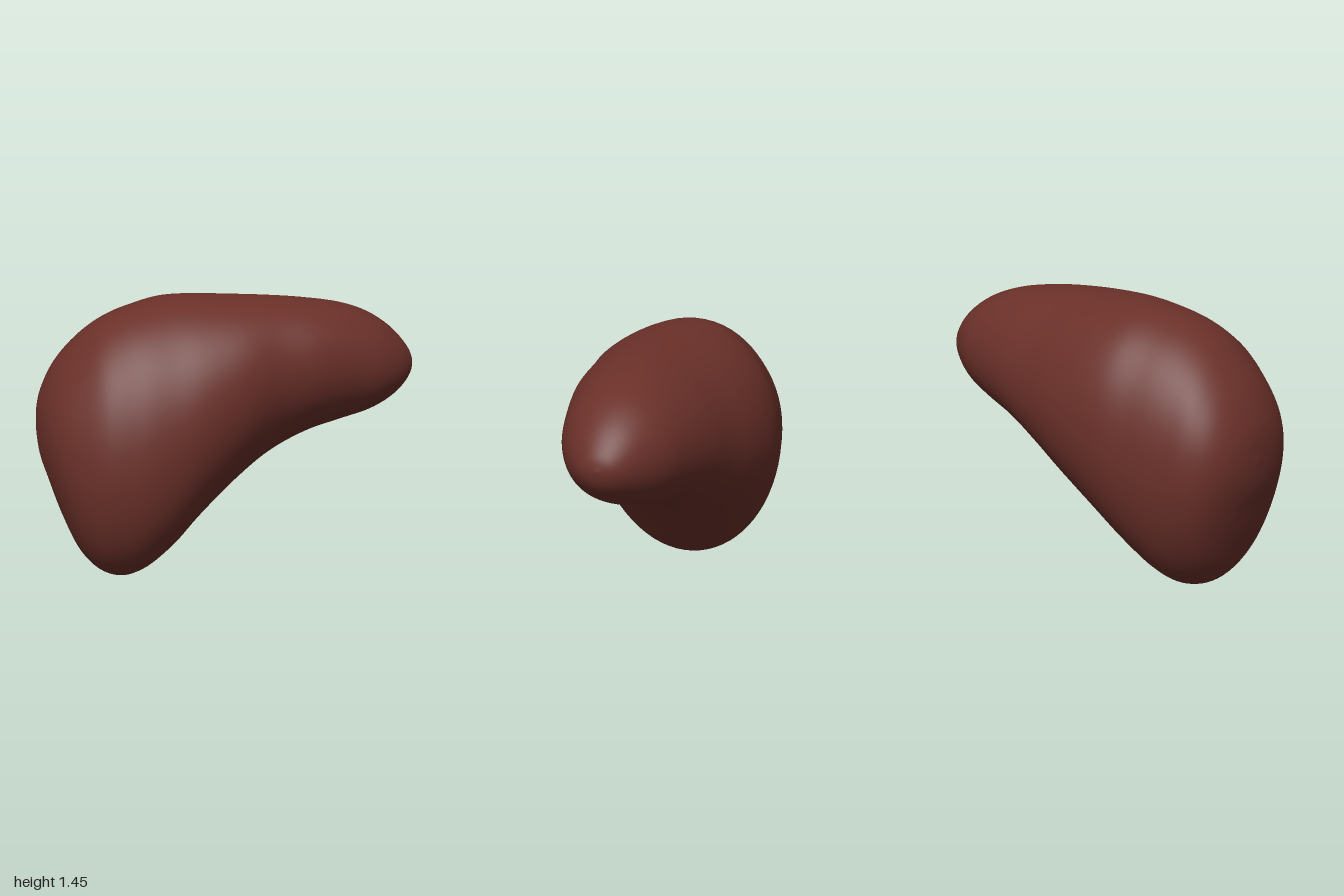
import * as THREE from 'three';
import { mergeVertices } from 'three/addons/utils/BufferGeometryUtils.js';

// Cross-sections along x: x, top y, bottom y, back z, front z, lean of the section
const SECTIONS = [
  [-1, 0.78, 0.78, -0.08, -0.08, 0],
  [-0.985, 0.92, 0.64, -0.21, 0.07, 0],
  [-0.95, 1.02, 0.52, -0.31, 0.21, -0.01],
  [-0.89, 1.13, 0.335, -0.385, 0.325, -0.02],
  [-0.8, 1.235, 0.135, -0.44, 0.42, -0.03],
  [-0.7, 1.32, 0.033, -0.465, 0.48, -0.03],
  [-0.6, 1.375, 0.002, -0.485, 0.505, -0.03],
  [-0.5, 1.41, 0.028, -0.5, 0.52, -0.03],
  [-0.35, 1.445, 0.135, -0.522, 0.515, -0.03],
  [-0.2, 1.455, 0.28, -0.522, 0.495, 0],
  [0, 1.45, 0.45, -0.493, 0.45, 0.04],
  [0.2, 1.44, 0.59, -0.44, 0.385, 0.06],
  [0.4, 1.42, 0.695, -0.395, 0.355, 0.05],
  [0.6, 1.385, 0.757, -0.34, 0.305, 0.03],
  [0.75, 1.33, 0.805, -0.287, 0.26, 0.01],
  [0.87, 1.25, 0.87, -0.21, 0.19, 0],
  [0.95, 1.165, 0.94, -0.135, 0.115, 0],
  [0.985, 1.11, 0.995, -0.08, 0.06, 0],
  [1, 1.055, 1.055, -0.01, -0.01, 0],
];

// Point on one section's leaning ellipse
function sectionPoint([x, top, bottom, back, front, lean], angle) {
  const s = Math.sin(angle), c = Math.cos(angle);
  const halfWidth = Math.sqrt(Math.max(0, ((front - back) / 2) ** 2 - lean ** 2));
  return new THREE.Vector3(
    x,
    (top + bottom) / 2 + ((top - bottom) / 2) * s,
    (front + back) / 2 + halfWidth * c + lean * s
  );
}

// Smooth closed skin: one lengthwise curve per angle, joined into rings
function createSkin(around = 72, along = 108) {
  const positions = [], index = [];
  for (let j = 0; j < around; j++) {
    const angle = (j / around) * Math.PI * 2;
    const curve = new THREE.CatmullRomCurve3(SECTIONS.map((s) => sectionPoint(s, angle)));
    for (let i = 0; i <= along; i++) positions.push(...curve.getPoint(i / along).toArray());
  }
  for (let j = 0; j < around; j++) {
    const a = j * (along + 1), b = ((j + 1) % around) * (along + 1);
    for (let i = 0; i < along; i++) {
      if (i < along - 1) index.push(a + i, a + i + 1, b + i + 1);
      if (i > 0) index.push(a + i, b + i + 1, b + i);
      if (i === along - 1) index.push(a + i, a + i + 1, b + i);
    }
  }
  // Last row closes onto the tip, so drop its collapsed half
  const geometry = new THREE.BufferGeometry();
  geometry.setAttribute('position', new THREE.Float32BufferAttribute(positions, 3));
  geometry.setIndex(index);
  const merged = mergeVertices(geometry, 1e-5);
  merged.computeVertexNormals();
  return merged;
}

export function createModel() {
  const group = new THREE.Group();
  group.name = 'liver';
  const body = new THREE.Mesh(createSkin(), new THREE.MeshStandardMaterial({ color: 0x6a3029 }));
  body.name = 'liverBody';
  group.add(body);
  return group;
}
